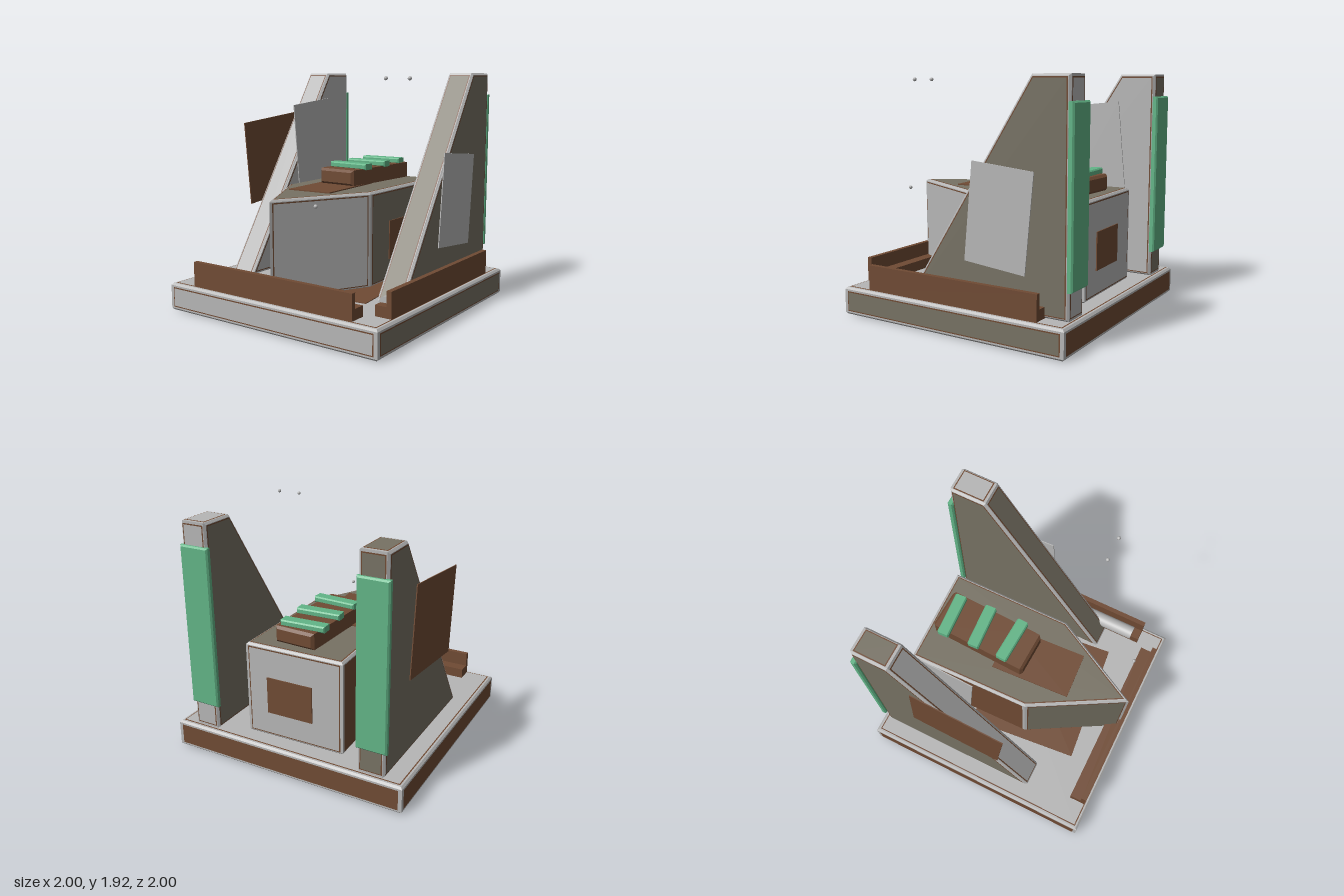
import * as THREE from 'three';

const material = (name, color) => {
  const m = new THREE.MeshStandardMaterial({ color });
  m.name = name;
  return m;
};

export function createModel() {
  const model = new THREE.Group();
  model.name = 'monument';
  const gray = material('lightGray', 0xb6b6b6);
  const khaki = material('khaki', 0x777264);
  const brown = material('brown', 0x704b34);
  const green = material('green', 0x62b587);

  const add = (parent, name, geometry, mat, x = 0, y = 0, z = 0) => {
    const mesh = new THREE.Mesh(geometry, mat);
    mesh.name = name;
    mesh.position.set(x, y, z);
    parent.add(mesh);
    return mesh;
  };

  // Extruded polygon with chamfered edges, from z = 0 to z = depth
  const chamfered = (points, depth, b) => {
    const shape = new THREE.Shape(points.map(([x, y]) => new THREE.Vector2(x, y)));
    const geometry = new THREE.ExtrudeGeometry(shape, {
      depth: depth - 2 * b, bevelThickness: b, bevelSize: b, bevelOffset: -b, bevelSegments: 1,
    });
    return geometry.translate(0, 0, b);
  };
  const chamferedBox = (w, h, d, b) => chamfered(
    [[-w / 2, -h / 2], [w / 2, -h / 2], [w / 2, h / 2], [-w / 2, h / 2]], d, b).translate(0, 0, -d / 2);

  // Move every edge of a convex counter-clockwise polygon inward
  const insetPolygon = (pts, d) => pts.map((p, i) => {
    const n = pts.length;
    const e1 = p.clone().sub(pts[(i + n - 1) % n]).normalize();
    const e2 = pts[(i + 1) % n].clone().sub(p).normalize();
    const miter = new THREE.Vector2(-e1.y - e2.y, e1.x + e2.x);
    return p.clone().addScaledVector(miter, d / (1 + e1.dot(e2)));
  });

  // Flat inlay lying on a face given by its corners
  const inlay = (parent, name, corners, inset, lift, mat) => {
    const u = corners[1].clone().sub(corners[0]).normalize();
    const w = corners[2].clone().sub(corners[0]);
    const n = u.clone().cross(w).normalize();
    const v = n.clone().cross(u);
    const flat = corners.map((c) => {
      const r = c.clone().sub(corners[0]);
      return new THREE.Vector2(r.dot(u), r.dot(v));
    });
    const geometry = new THREE.ShapeGeometry(new THREE.Shape(insetPolygon(flat, inset)));
    geometry.applyMatrix4(new THREE.Matrix4().makeBasis(u, v, n)
      .setPosition(corners[0].clone().addScaledVector(n, lift)));
    add(parent, name, geometry, mat);
  };

  // Framed solid: gray chamfered body, brown outline and coloured panel on each face
  const framed = (name, points, depth, sides, topMat, bottomMat, inset) => {
    const group = new THREE.Group();
    group.name = name;
    add(group, name + 'Frame', chamfered(points, depth, 0.015), gray);
    const at = (p, z) => new THREE.Vector3(p[0], p[1], z);
    const faces = sides.map((mat, i) => {
      const a = points[i], b = points[(i + 1) % points.length];
      return [[at(a, 0), at(b, 0), at(b, depth), at(a, depth)], mat];
    });
    faces.push([points.map((p) => at(p, depth)), topMat]);
    faces.push([points.map((p) => at(p, 0)).reverse(), bottomMat]);
    for (const [corners, mat] of faces) {
      inlay(group, name + 'Outline', corners, inset - 0.009, 0.002, brown);
      inlay(group, name + 'Panel', corners, inset, 0.004, mat);
    }
    model.add(group);
    return group;
  };

  // Base slab
  const s = 0.996;
  const base = framed('base', [[-s, -s], [s, -s], [s, s], [-s, s]], 0.222,
    [gray, khaki, brown, brown], gray, brown, 0.038);
  base.rotation.x = -Math.PI / 2;
  base.position.y = 0.004;

  // Pointed central block
  const block = framed('block',
    [[0.015, -0.935], [0.41, -0.19], [0.4, 0.845], [-0.43, 0.825], [-0.4, -0.2]], 0.765,
    [gray, khaki, gray, brown, khaki], khaki, brown, 0.03);
  block.rotation.x = -Math.PI / 2;
  block.position.y = 0.228;

  // Sloped towers
  const profile = [[-0.44, 0.228], [0.95, 0.228], [0.95, 1.915], [0.65, 1.915]];
  const towers = [
    ['rightTower', -0.835, [khaki, khaki, khaki, gray], gray, khaki],
    ['leftTower', 0.63, [khaki, gray, gray, khaki], khaki, khaki],
  ];
  for (const [name, x, sides, outer, inner] of towers) {
    const tower = framed(name, profile, 0.22, sides, outer, inner, 0.028);
    tower.rotation.y = Math.PI / 2;
    tower.position.x = x;
  }

  // Green boards on the tower backs
  for (const x of [-0.735, 0.73]) {
    add(model, 'backBoard', chamferedBox(0.25, 1.3, 0.05, 0.012), green, x, 1.085, -0.955);
  }

  // Stepped walls along the front and one side
  for (const turn of [0, Math.PI / 2]) {
    const wall = new THREE.Group();
    wall.name = turn ? 'sideWall' : 'frontWall';
    add(wall, 'wallPlate', new THREE.BoxGeometry(1.53, 0.2, 0.04), brown, 0, 0.328, 0.94);
    add(wall, 'wallStep', new THREE.BoxGeometry(1.53, 0.085, 0.1), brown, 0, 0.27, 0.875);
    wall.rotation.y = turn;
    model.add(wall);
  }

  // Pipe lying on the side wall's step
  add(model, 'pipe', new THREE.CylinderGeometry(0.06, 0.06, 1.39, 32).rotateX(Math.PI / 2),
    gray, 0.865, 0.3, -0.005);

  // Chest with green slats on the block
  add(model, 'chest', chamferedBox(0.34, 0.13, 0.83, 0.02), brown, 0.005, 1.07, -0.345).rotation.y = -0.04;
  for (const [x, z, turn] of [[-0.015, -0.655, 0.06], [0.005, -0.39, 0.06], [0.01, -0.12, -0.05]]) {
    add(model, 'slat', chamferedBox(0.37, 0.05, 0.1, 0.01), green, x, 1.152, z).rotation.y = turn;
  }

  // Thin sheets on the floor and on the block top
  add(model, 'floorSheet', new THREE.BoxGeometry(1.056, 0.006, 0.955), brown, 0.045, 0.235, 0.15).rotation.y = 0.104;
  add(model, 'topSheet', new THREE.BoxGeometry(0.38, 0.009, 0.66), brown, -0.01, 1.004, 0.13).rotation.y = 0.06;

  // Tilted sheets on the tower sides
  const sheets = [
    [brown, 0.716, 0.77, -0.852, 1.175, -0.17, 0.1],
    [gray, 0.74, 0.52, -0.605, 1.297, -0.415, 0.097],
    [gray, 0.745, 0.52, 0.86, 0.905, -0.385, -0.096],
  ];
  for (const [mat, h, w, x, y, z, tilt] of sheets) {
    add(model, 'towerSheet', new THREE.BoxGeometry(0.008, h, w), mat, x, y, z).rotation.x = tilt;
  }

  // Brown plates on the block's back and side
  add(model, 'backPlate', new THREE.BoxGeometry(0.39, 0.3, 0.009), brown, 0.02, 0.59, -0.845).rotation.y = 0.024;
  add(model, 'sidePlate', new THREE.BoxGeometry(0.009, 0.32, 0.43), brown, 0.415, 0.57, -0.295);

  // Small floating beads
  for (const [x, y, z] of [[0.645, 1.875, 0.36], [0.845, 1.875, 0.36], [0.36, 0.97, 0.83]]) {
    add(model, 'bead', new THREE.SphereGeometry(0.015, 12, 8), gray, x, y, z);
  }
  return model;
}
